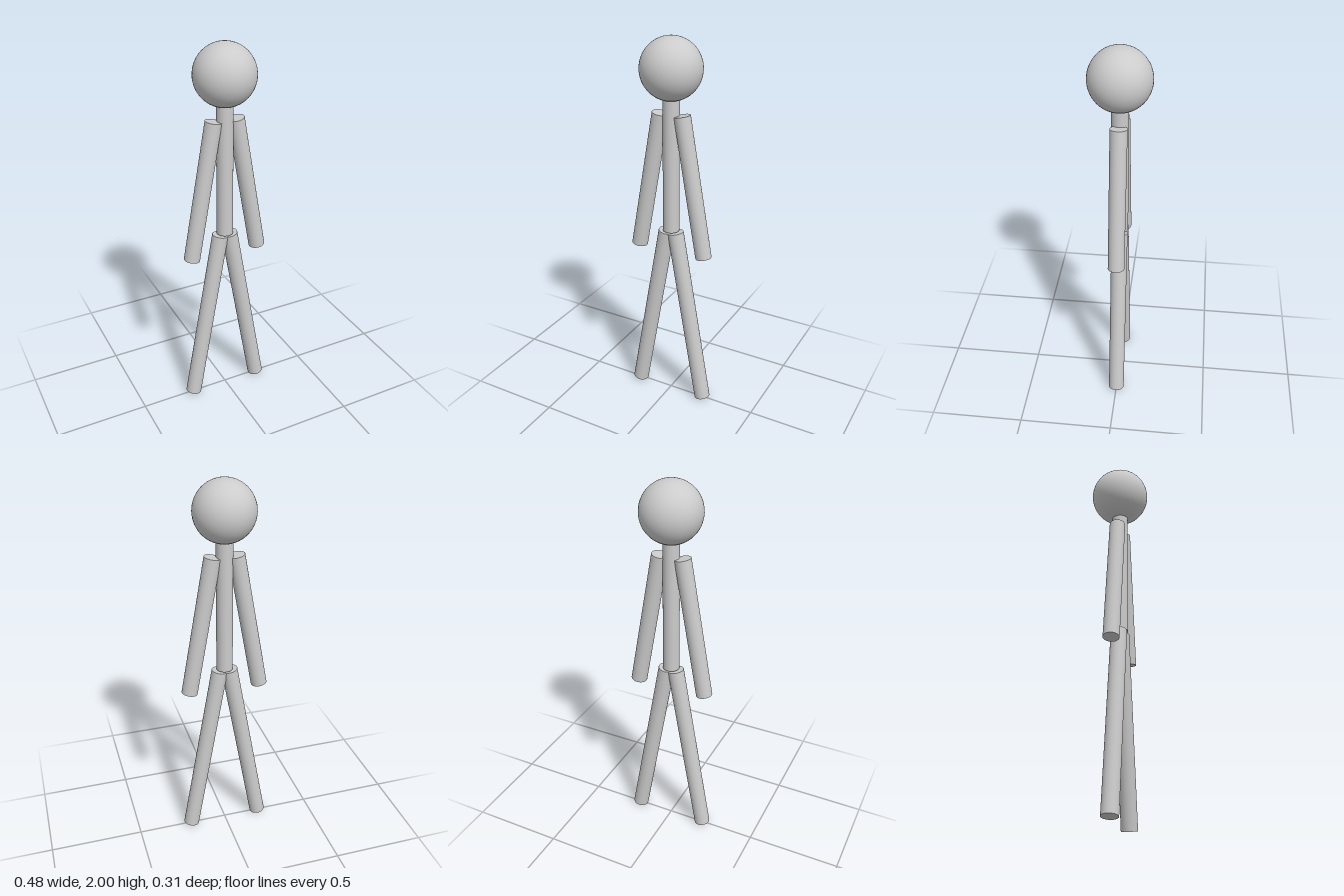
import * as THREE from 'three';

const RADIUS = 0.0425;
const TILT = THREE.MathUtils.degToRad(10);

export function createModel() {
  const model = new THREE.Group();
  const material = new THREE.MeshStandardMaterial({ color: 0xcccccc });

  const add = (name, geometry, x, y, tilt = 0) => {
    const mesh = new THREE.Mesh(geometry, material);
    mesh.name = name;
    mesh.position.set(x, y, 0);
    mesh.rotation.z = tilt;
    model.add(mesh);
  };
  const rod = (length) => new THREE.CylinderGeometry(RADIUS, RADIUS, length, 32);

  // Head and torso
  add('head', new THREE.SphereGeometry(0.155, 48, 32), 0, 1.845);
  add('torso', rod(0.72), 0, 1.36);

  // Limbs, splayed outward towards the bottom
  for (const [side, s] of [['left', 1], ['right', -1]]) {
    add(side + 'Arm', rod(0.75), s * 0.126, 1.253, s * TILT);
    add(side + 'Leg', rod(1), s * 0.113, 0.5, s * TILT);
  }
  return model;
}
